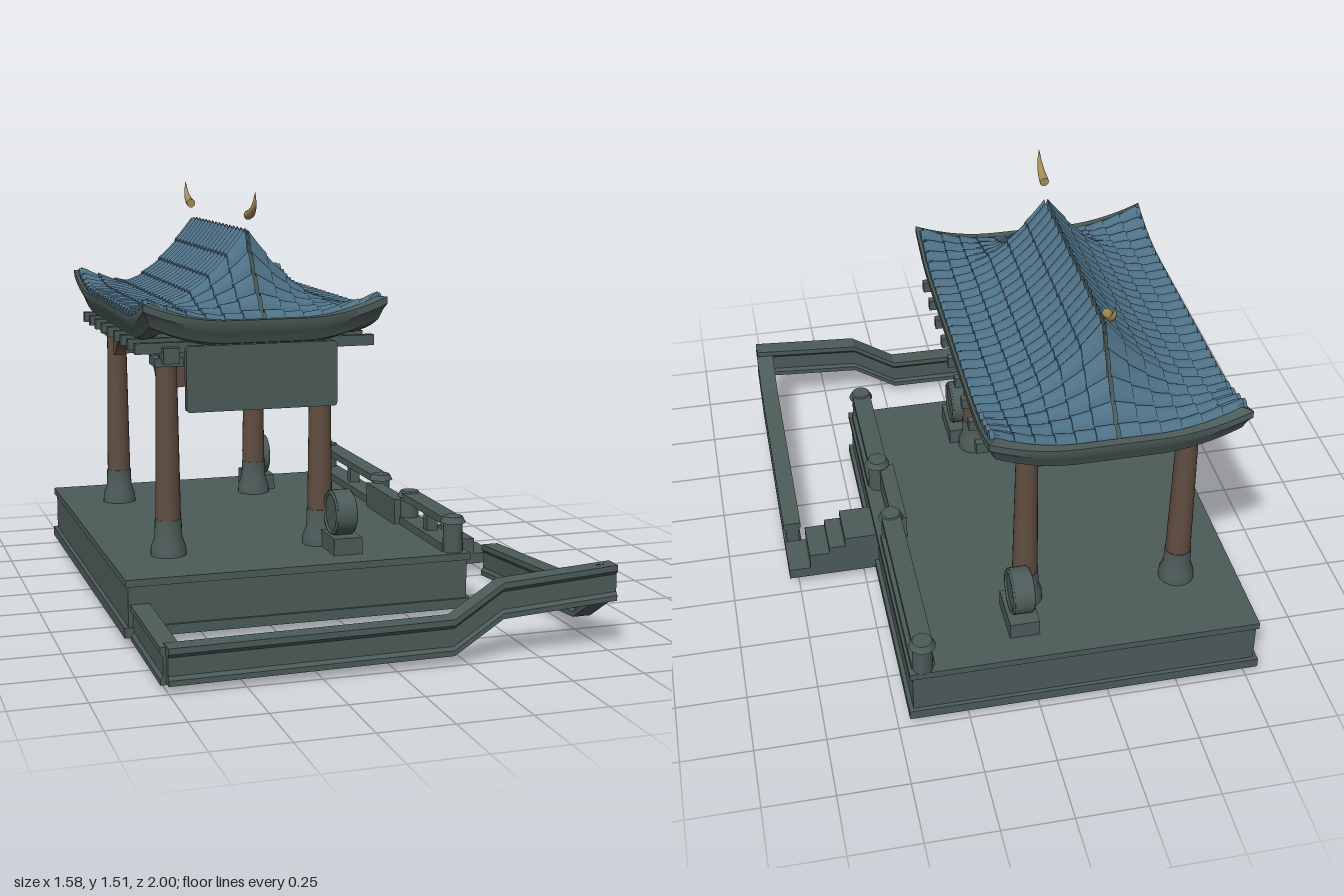
import * as THREE from 'three';
import { toCreasedNormals } from 'three/addons/utils/BufferGeometryUtils.js';

const mat = (name, color) => Object.assign(
  new THREE.MeshStandardMaterial({ color, side: THREE.DoubleSide }), { name });

// Skin over an (nu+1) x (nv+1) lattice of points given by f(i, j)
function surface(nu, nv, f, crease = 0.6) {
  const pos = [], idx = [];
  for (let i = 0; i <= nu; i++) for (let j = 0; j <= nv; j++) pos.push(...f(i, j));
  for (let i = 0; i < nu; i++) for (let j = 0; j < nv; j++) {
    const a = i * (nv + 1) + j, b = a + 1, c = a + nv + 1, d = c + 1;
    idx.push(a, b, c, b, d, c);
  }
  const g = new THREE.BufferGeometry();
  g.setAttribute('position', new THREE.Float32BufferAttribute(pos, 3));
  g.setIndex(idx);
  return toCreasedNormals(g, crease);
}

export function createModel() {
  const stone = mat('stone', 0x4c5b59), tile = mat('roof tile', 0x4e7186);
  const wood = mat('wood', 0x604d40), gold = mat('gold', 0xa58d58);
  const model = new THREE.Group();
  const add = (name, geo, m, x = 0, y = 0, z = 0) => {
    const mesh = new THREE.Mesh(geo, m);
    mesh.name = name;
    mesh.position.set(x, y, z);
    model.add(mesh);
    return mesh;
  };
  // Box from its min and max on each axis
  const box = (name, x0, x1, y0, y1, z0, z1, m = stone) => add(name,
    new THREE.BoxGeometry(x1 - x0, y1 - y0, z1 - z0), m, (x0 + x1) / 2, (y0 + y1) / 2, (z0 + z1) / 2);

  // Platform
  box('platformFoot', -0.79, 0.46, 0.04, 0.075, -1, 0.51);
  box('platformBody', -0.775, 0.445, 0.075, 0.215, -0.985, 0.5);
  box('platformDeck', -0.785, 0.455, 0.215, 0.24, -0.99, 0.51);

  // Stairs
  [[0.57, 0.2], [0.63, 0.165], [0.705, 0.14], [0.785, 0.08]].forEach(([x1, top], i, all) =>
    box('step', i ? all[i - 1][0] : 0.44, x1, 0.04, top, -0.21, -0.045));

  // Railings either side of the entrance
  for (const [z0, z1] of [[0.03, 0.465], [-0.96, -0.29]]) {
    box('topRail', 0.37, 0.44, 0.335, 0.362, z0, z1);
    box('bottomRail', 0.365, 0.445, 0.24, 0.268, z0, z1);
    box('midPost', 0.385, 0.425, 0.26, 0.34, (z0 + z1) / 2 - 0.02, (z0 + z1) / 2 + 0.02);
    for (const z of [z0, z1]) {
      add('railPost', new THREE.CylinderGeometry(0.035, 0.035, 0.11, 16), stone, 0.405, 0.295, z);
      add('railPostCap', new THREE.CylinderGeometry(0.034, 0.046, 0.022, 16), stone, 0.405, 0.357, z);
    }
  }
  box('threshold', 0.345, 0.4, 0.24, 0.335, -0.29, 0.03);

  // Columns, stone bases and curved braces
  const colX = [-0.57, -0.01], colZ = [0.21, -0.685];
  const baseProfile = [[0, 0], [0.064, 0], [0.062, 0.03], [0.049, 0.065], [0.047, 0.13], [0, 0.13]]
    .map(p => new THREE.Vector2(...p));
  const brace = new THREE.Shape();
  brace.moveTo(0, 0);
  brace.lineTo(0.19, 0);
  brace.lineTo(0.19, -0.015);
  brace.quadraticCurveTo(0.1, -0.02, 0.075, -0.085);
  brace.lineTo(0, -0.09);
  const braceGeo = new THREE.ExtrudeGeometry(brace, { depth: 0.04, bevelEnabled: false, curveSegments: 8 });
  braceGeo.translate(0, 0, -0.02);
  colX.forEach((x, i) => colZ.forEach((z, k) => {
    add('columnBase', toCreasedNormals(new THREE.LatheGeometry(baseProfile, 24), 0.5), stone, x, 0.24, z);
    add('column', new THREE.CylinderGeometry(0.037, 0.045, 0.56, 24), wood, x, 0.65, z);
    box('columnCap', x - 0.05, x + 0.05, 0.915, 0.945, z - 0.05, z + 0.05);
    add('braceAlong', braceGeo, wood, x, 0.925, z).rotation.y = k ? -Math.PI / 2 : Math.PI / 2;
    add('braceAcross', braceGeo, wood, x, 0.925, z).rotation.y = i ? Math.PI : 0;
  }));

  // Beams and joists under the roof
  for (const x of colX) box('longBeam', x - 0.028, x + 0.028, 0.93, 0.985, -0.77, 0.3);
  for (const z of colZ) box('crossBeam', -0.6, 0.02, 0.925, 0.975, z - 0.025, z + 0.025);
  for (let i = 0; i < 9; i++) {
    const z = 0.25 - i * 0.123;
    box('joist', -0.69, 0.175, 0.962, 1.0, z - 0.014, z + 0.014);
  }

  // Hanging panel
  const plate = new THREE.Shape();
  const w = 0.265, h = 0.1125, r = 0.012;
  plate.absarc(w - r, h - r, r, 0, Math.PI / 2);
  plate.absarc(-w + r, h - r, r, Math.PI / 2, Math.PI);
  plate.absarc(-w + r, -h + r, r, Math.PI, Math.PI * 1.5);
  plate.absarc(w - r, -h + r, r, Math.PI * 1.5, Math.PI * 2);
  add('hangingPanel', new THREE.ExtrudeGeometry(plate, { depth: 0.028, bevelEnabled: false, curveSegments: 4 }),
    stone, -0.29, 0.8975, 0.426);

  // Drum stones on plinths
  for (const z of [0.32, -0.795]) {
    box('drumPlinth', -0.02, 0.085, 0.24, 0.3, z - 0.09, z + 0.09);
    add('drum', new THREE.CylinderGeometry(0.082, 0.082, 0.066, 32), stone, 0.032, 0.375, z).rotation.z = Math.PI / 2;
    for (const x of [0, 0.065])
      add('drumRim', new THREE.TorusGeometry(0.072, 0.008, 6, 32), stone, x, 0.375, z).rotation.y = Math.PI / 2;
  }

  // Roof: height over distance x from the ridge line and z from its middle
  const cx = -0.258, cz = -0.27, hx = 0.41, hz = 0.645;
  const lift = d => 0.065 * Math.max(0, 1 - d / 0.3) ** 2;
  const roofY = (x, z) => {
    const u = Math.abs(x) / hx, t = Math.max(0, Math.abs(z) - 0.4) / (hz - 0.4);
    const ridge = 0.295 * Math.max(0, 1 - t) ** 1.35;
    return 1.065 + ridge * (1 - u) ** 2.1 + 0.01 * u ** 3
      + lift(Math.hypot(hx - Math.abs(x), hz - Math.abs(z)));
  };
  // Tile rows: round ridges with overlapping courses
  const rows = 25, courses = 6, perCourse = 5, pitch = 2 * hz / rows;
  for (const side of [-1, 1]) for (let k = 0; k < rows; k++) {
    const zc = -hz + (k + 0.5) * pitch;
    add('tileRow', surface(courses * perCourse - 1, 8, (i, j) => {
      const f = (i % perCourse) / (perCourse - 1), s = j / 4 - 1;
      const u = (Math.floor(i / perCourse) + f * 0.995) / courses;
      const x = 0.006 + u * (hx - 0.006), z = zc + s * pitch / 2;
      const bump = 0.024 * Math.sqrt(1 - s * s) + 0.008 * f;
      return [side * x, roofY(x, z) + bump, z];
    }), tile, cx, 0, cz);
    add('tileEnd', new THREE.CylinderGeometry(0.022, 0.022, 0.016, 12), tile,
      cx + side * (hx + 0.004), roofY(hx, zc) + 0.008, cz + zc).rotation.z = Math.PI / 2;
  }
  add('roofUnderside', surface(32, 32, (i, j) => {
    const x = (i / 16 - 1) * hx, z = (j / 16 - 1) * hz;
    return [x, roofY(x, z) - 0.02, z];
  }), stone, cx, 0, cz);

  // Eave moulding, rising at the corners: [distance outward, height]
  const eave = [[0, 1.085], [0, 1.06], [-0.012, 1.04], [-0.025, 1.005], [-0.05, 0.992], [-0.085, 0.995],
    [-0.085, 1.01], [-0.05, 1.05], [-0.03, 1.085], [0, 1.085]];
  const ex = 0.432, ez = 0.675;
  for (const s of [-1, 1]) for (const alongX of [true, false]) {
    const len = alongX ? ex : ez, out = alongX ? ez : ex;
    add('eave', surface(32, eave.length - 1, (i, j) => {
      const [o, y] = eave[j], t = i / 16 - 1;
      const a = t * (len + o), b = s * (out + o), up = y + lift(len * (1 - Math.abs(t)));
      return alongX ? [a, up, b] : [b, up, a];
    }), stone, cx, 0, cz);
  }

  // Tapered golden horns above the ridge ends
  for (const s of [-1, 1]) {
    const path = new THREE.CatmullRomCurve3([[1.425, 0.43], [1.438, 0.475], [1.465, 0.508], [1.51, 0.522]]
      .map(([y, z]) => new THREE.Vector3(0, y, s * z)));
    const n = 16, m = 10, geo = new THREE.TubeGeometry(path, n, 0.017, m);
    const p = geo.attributes.position, v = new THREE.Vector3();
    for (let i = 0; i < p.count; i++) {
      const t = Math.floor(i / (m + 1)) / n;
      v.fromBufferAttribute(p, i).lerp(path.getPointAt(t), t ** 1.6);
      p.setXYZ(i, v.x, v.y, v.z);
    }
    geo.computeVertexNormals();
    add('horn', geo, gold, cx, 0, cz);
    add('hornButt', new THREE.CircleGeometry(0.017, m), gold, cx, 1.425, cz + s * 0.43).rotation.y = s > 0 ? Math.PI : 0;
  }

  // Low boundary wall swept along each path; across is the sideways axis
  const half = [[0.033, 0], [0.033, 0.018], [0.024, 0.03], [0.024, 0.09], [0.033, 0.102], [0.033, 0.122]];
  const wall = [...half, ...half.map(([a, y]) => [-a, y]).reverse(), half[0]];
  const boundary = (name, path, across) => {
    const n = path.length + 1;
    add(name, surface(n, wall.length - 1, (i, j) => {
      const [x, y, z] = path[Math.min(Math.max(i - 1, 0), path.length - 1)];
      const [a, b] = i === 0 || i === n ? [0, 0.061] : wall[j];
      return across === 'x' ? [x + a, y + b, z] : [x, y + b, z + a];
    }, 0.3), stone);
  };
  boundary('frontWall', [[-0.75, 0.028, 0.965], [0.2, 0.036, 0.965], [0.37, 0.145, 0.965], [0.78, 0.172, 0.965]], 'z');
  boundary('leftWall', [[0.75, 0.004, 0], [0.75, 0.065, 0.8], [0.75, 0.17, 0.965]], 'x');
  boundary('rightWall', [[-0.735, 0.03, 0.5], [-0.735, 0.022, 0.96]], 'x');

  return model;
}
